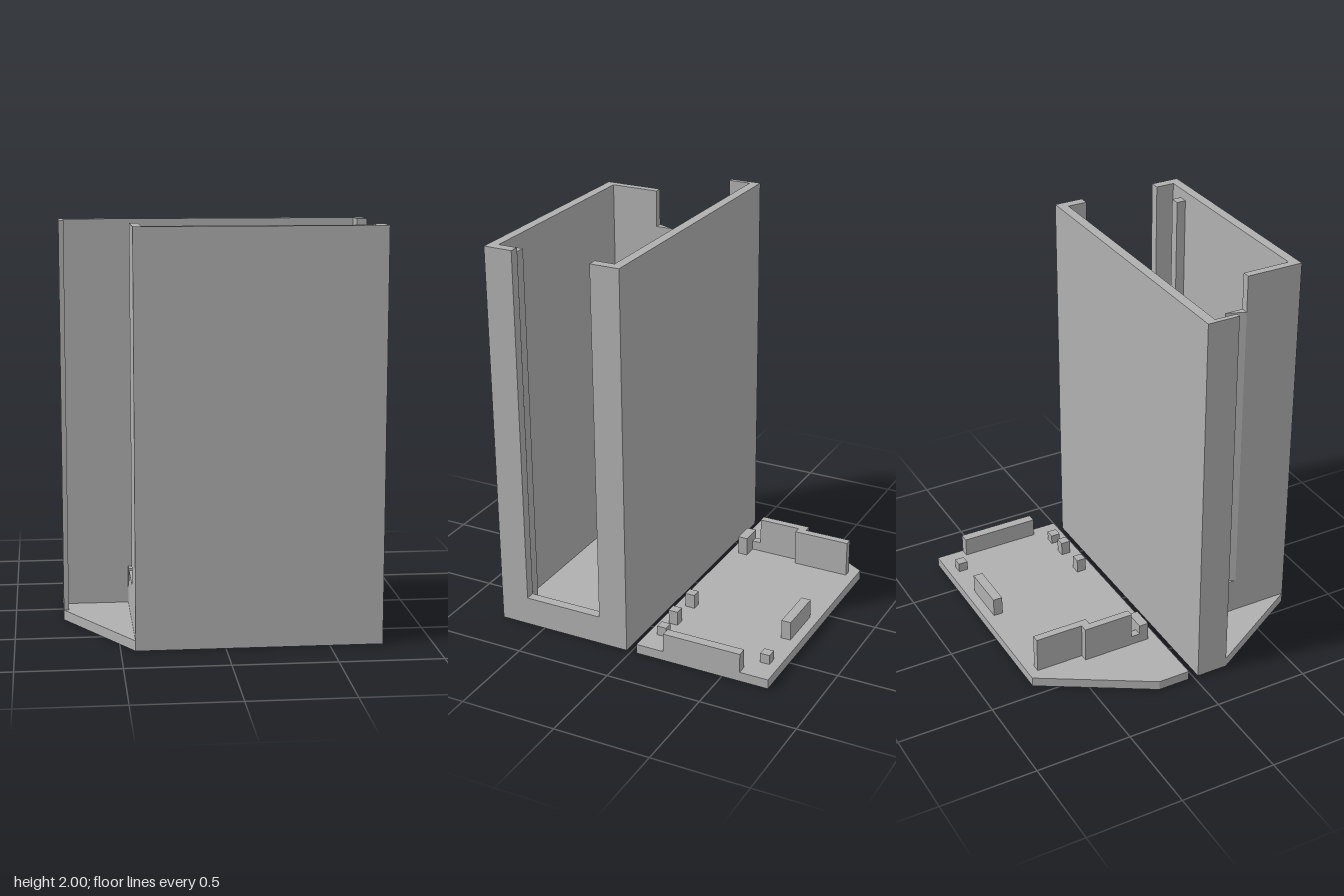
import * as THREE from 'three';

export function createModel() {
  const grey = new THREE.MeshStandardMaterial({ color: 0xb0b0b0 });
  grey.name = 'plastic grey';
  const model = new THREE.Group();
  model.name = 'enclosure';
  const body = new THREE.Group();
  body.name = 'caseBody';
  const lid = new THREE.Group();
  lid.name = 'lid';
  model.add(body, lid);

  // Box given by its limits on each axis
  function block(parent, name, x0, x1, y0, y1, z0, z1) {
    const mesh = new THREE.Mesh(new THREE.BoxGeometry(x1 - x0, y1 - y0, z1 - z0), grey);
    mesh.position.set((x0 + x1) / 2, (y0 + y1) / 2, (z0 + z1) / 2);
    mesh.name = name;
    parent.add(mesh);
  }

  // Upright prism from an outline of [x, z] corners
  function prism(parent, name, corners, y0, y1) {
    const shape = new THREE.Shape(corners.map(([x, z]) => new THREE.Vector2(x, -z)));
    const geometry = new THREE.ExtrudeGeometry(shape, { depth: y1 - y0, bevelEnabled: false });
    geometry.rotateX(-Math.PI / 2);
    const mesh = new THREE.Mesh(geometry, grey);
    mesh.position.y = y0;
    mesh.name = name;
    parent.add(mesh);
  }

  const T = 0.05; // floor thickness

  // Case: floor with one cut corner, and long walls
  prism(body, 'caseFloor',
    [[-0.76, 0.025], [0.757, 0.025], [0.757, 0.745], [-0.43, 0.745], [-0.76, 0.19]], 0, T);
  block(body, 'backWall', -0.76, 0.757, T, 2, 0.025, 0.075);
  block(body, 'frontWall', -0.43, 0.757, T, 2, 0.695, 0.745);

  // Slotted side wall
  block(body, 'slotWallBack', 0.707, 0.757, T, 2, 0.075, 0.178);
  block(body, 'slotWallFront', 0.707, 0.757, T, 2, 0.595, 0.695);
  block(body, 'slotSill', 0.707, 0.757, T, 0.15, 0.178, 0.595);

  // Open side: short outer wall, inner wall with a tapered lip, low sill
  block(body, 'outerSideWall', -0.76, -0.735, T, 2, 0.075, 0.19);
  block(body, 'innerSideWall', -0.43, -0.39, T, 2, 0.443, 0.695);
  prism(body, 'innerWallLip', [[-0.43, 0.443], [-0.39, 0.443], [-0.39, 0.347]], 0.24, 1.81);
  block(body, 'innerSill', -0.43, -0.39, T, 0.24, 0.165, 0.443);

  // Low holder blocks beside the sill
  block(body, 'holderBack', -0.43, -0.31, T, 0.24, 0.075, 0.125);
  block(body, 'holderMiddle', -0.43, -0.31, T, 0.15, 0.125, 0.165);
  block(body, 'holderFront', -0.39, -0.31, T, 0.22, 0.165, 0.215);

  // Tall guide rails inside the front and back walls
  for (const z of [0.075, 0.645]) block(body, 'guideRail', 0.58, 0.63, T, 1.95, z, z + 0.05);

  // Lid plate
  prism(lid, 'lidPlate',
    [[-0.76, -0.03], [-0.76, -0.2], [-0.43, -0.745], [0.757, -0.745], [0.757, -0.03]], 0, T);

  // Tabs standing on the lid
  block(lid, 'innerTab', -0.39, -0.35, T, 0.24, -0.695, -0.4);
  block(lid, 'outerTab', -0.43, -0.39, T, 0.24, -0.443, -0.177);
  block(lid, 'tabLink', -0.43, -0.39, T, 0.1, -0.177, -0.13);
  block(lid, 'holderTab', -0.43, -0.315, T, 0.15, -0.13, -0.08);
  block(lid, 'slotTab', 0.707, 0.757, T, 0.15, -0.595, -0.18);
  block(lid, 'edgeTab', 0.13, 0.38, T, 0.15, -0.695, -0.645);

  // Small locating pegs: x, z, top
  for (const [x, z, top] of [
    [0.58, -0.695, 0.1], [0.58, -0.13, 0.1], [0.455, -0.13, 0.125], [0.268, -0.13, 0.125],
  ]) block(lid, 'peg', x, x + 0.05, T, top, z, z + 0.05);

  return model;
}
